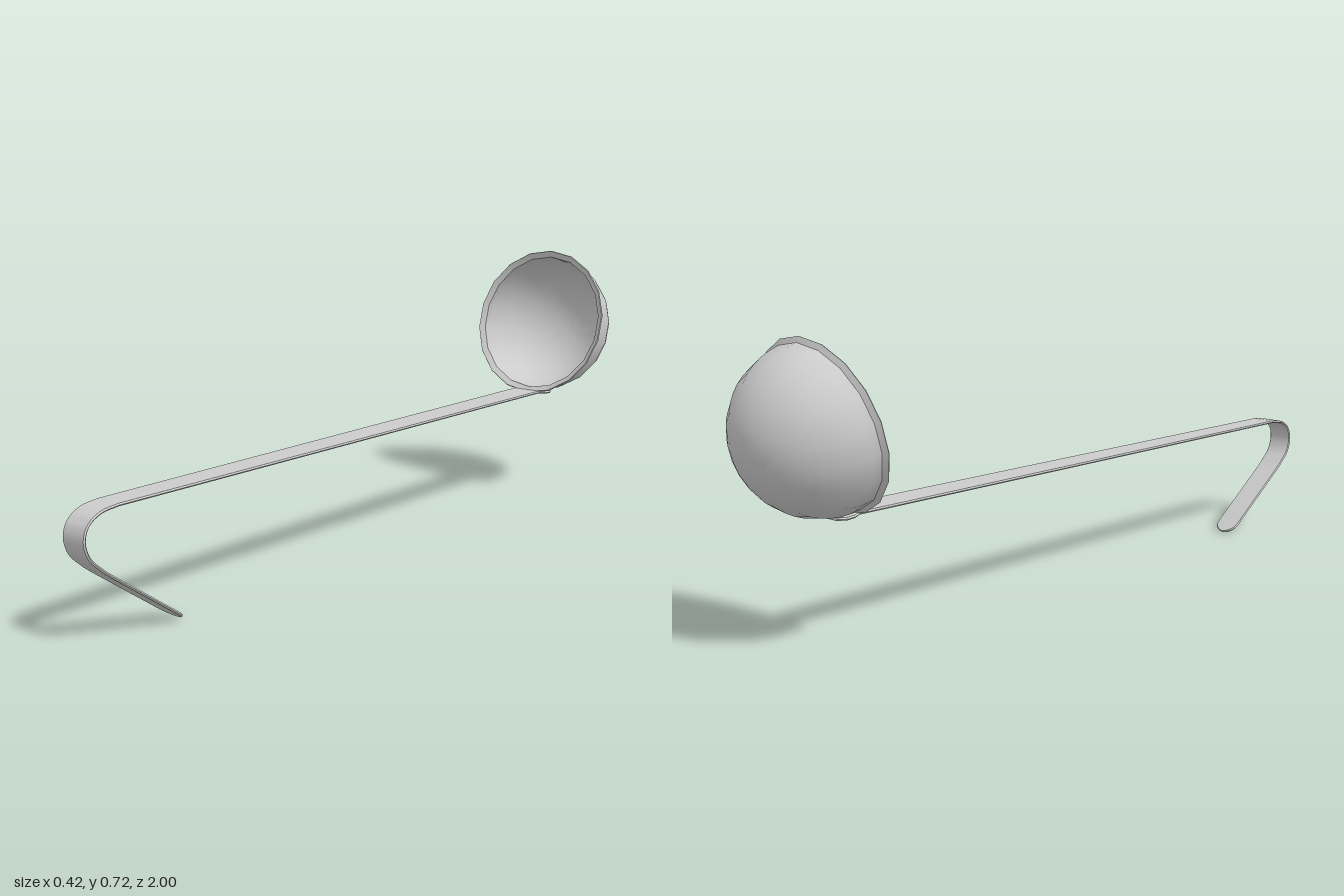
import * as THREE from 'three';
import { toCreasedNormals } from 'three/addons/utils/BufferGeometryUtils.js';

const material = new THREE.MeshStandardMaterial({ color: 0xcccccc, side: THREE.DoubleSide });

// Thin hemispherical bowl with a small flared lip
function makeBowl() {
  const steps = 12, offset = -0.01, outer = 0.203, inner = 0.197;
  const profile = [];
  for (let i = 0; i <= steps; i++) {
    const a = (i / steps) * Math.PI / 2;
    profile.push(new THREE.Vector2(outer * Math.sin(a), offset - outer * Math.cos(a)));
  }
  profile.push(new THREE.Vector2(0.215, -0.001), new THREE.Vector2(0.213, 0.002));
  for (let i = steps; i >= 0; i--) {
    const a = (i / steps) * Math.PI / 2;
    profile.push(new THREE.Vector2(inner * Math.sin(a), offset + 0.003 - inner * Math.cos(a)));
  }
  const bowl = new THREE.Mesh(toCreasedNormals(new THREE.LatheGeometry(profile, 18), 0.6), material);
  bowl.name = 'bowl';
  bowl.position.set(0, 0.519, -0.787);
  bowl.rotation.x = THREE.MathUtils.degToRad(74.3);
  return bowl;
}

// Flat strap swept along a side profile, closed at both ends
function makeStrap(rings, thickness) {
  const positions = [], index = [];
  rings.forEach(({ z, y, w }, i) => {
    const a = rings[Math.max(i - 1, 0)], b = rings[Math.min(i + 1, rings.length - 1)];
    const len = Math.hypot(b.z - a.z, b.y - a.y);
    const nz = -(b.y - a.y) / len * thickness / 2, ny = (b.z - a.z) / len * thickness / 2;
    const bevel = Math.max(w - 0.003, w * 0.5);
    // Six-sided section with thin rounded edges
    for (const [x, s] of [[-bevel, 1], [bevel, 1], [w, 0], [bevel, -1], [-bevel, -1], [-w, 0]]) {
      positions.push(x, y + ny * s, z + nz * s);
    }
  });
  const n = 6;
  for (let i = 0; i < rings.length - 1; i++) {
    for (let j = 0; j < n; j++) {
      const a = i * n + j, b = i * n + (j + 1) % n;
      index.push(a, a + n, b, b, a + n, b + n);
    }
  }
  const last = (rings.length - 1) * n;
  for (let j = 1; j < n - 1; j++) {
    index.push(0, j, j + 1, last, last + j + 1, last + j);
  }
  const geometry = new THREE.BufferGeometry();
  geometry.setAttribute('position', new THREE.Float32BufferAttribute(positions, 3));
  geometry.setIndex(index);
  return toCreasedNormals(geometry, 0.6);
}

function makeHandle() {
  const y = 0.317;
  // Foot under the bowl, then the long tapering shaft
  const rings = [
    { z: -0.79, y: 0.314, w: 0.045 },
    { z: -0.77, y: 0.314, w: 0.058 },
    { z: -0.745, y: 0.315, w: 0.056 },
    { z: -0.725, y, w: 0.045 },
    { z: 0, y, w: 0.042 },
    { z: 0.85, y, w: 0.037 },
  ];
  // Bend of the hook
  const bend = new THREE.CatmullRomCurve3([
    [0.9, y], [0.95, 0.31], [0.985, 0.288], [0.997, 0.255], [0.985, 0.215], [0.945, 0.176],
  ].map(([z, h]) => new THREE.Vector3(0, h, z)));
  for (const p of bend.getPoints(20)) rings.push({ z: p.z, y: p.y, w: 0.0365 });
  // Straight end with a rounded tip
  const start = new THREE.Vector2(0.925, 0.161), end = new THREE.Vector2(0.705, 0.005);
  const length = start.distanceTo(end), radius = 0.0365;
  rings.push({ z: start.x, y: start.y, w: radius });
  for (let i = 0; i <= 8; i++) {
    const a = (i / 8) * Math.PI / 2;
    const p = start.clone().lerp(end, 1 - radius * (1 - Math.sin(a)) / length);
    rings.push({ z: p.x, y: p.y, w: Math.max(radius * Math.cos(a), 0.002) });
  }
  const handle = new THREE.Mesh(makeStrap(rings, 0.007), material);
  handle.name = 'handle';
  return handle;
}

export function createModel() {
  const model = new THREE.Group();
  model.name = 'ladle';
  model.add(makeBowl(), makeHandle());
  return model;
}
